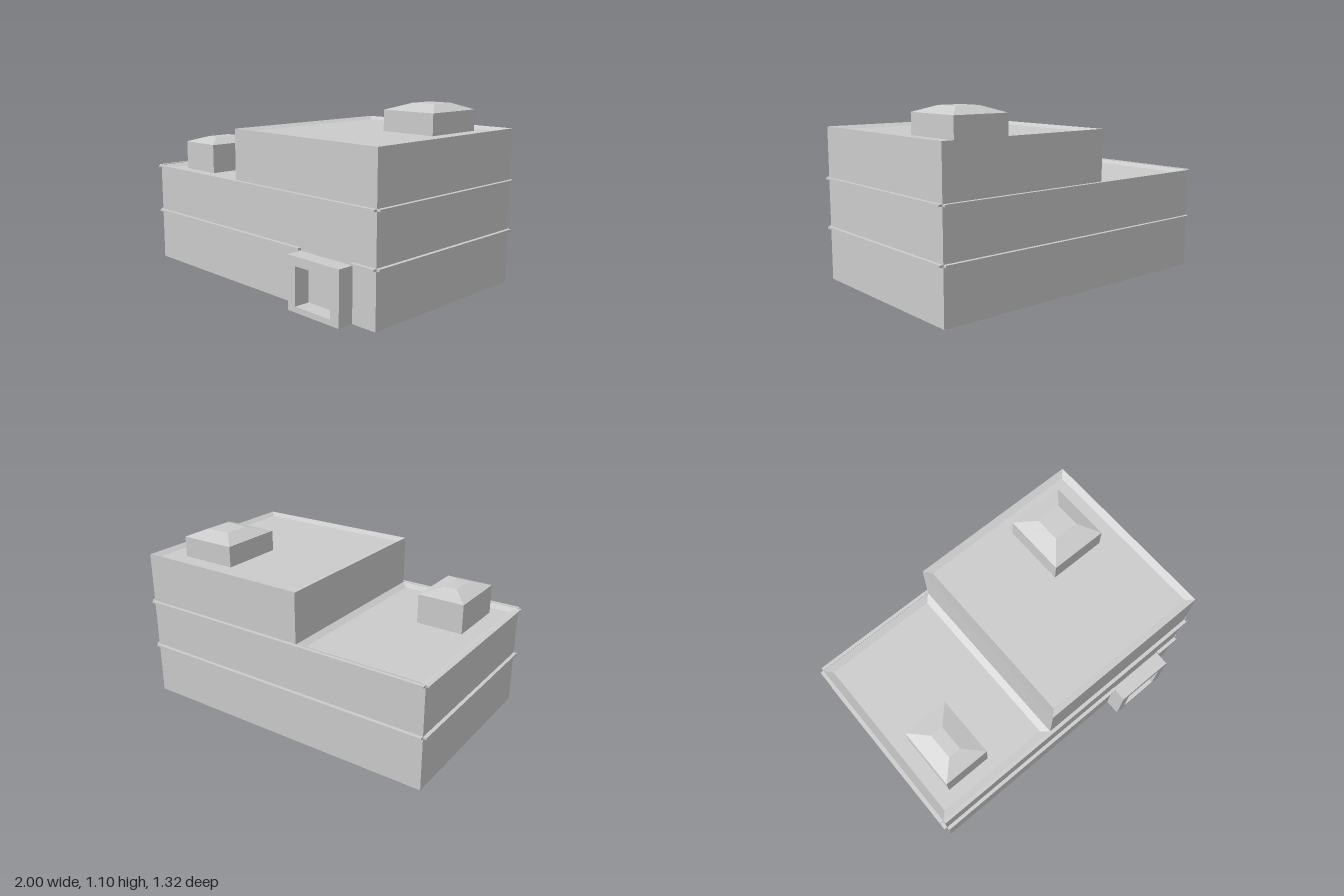
import * as THREE from 'three';

const material = new THREE.MeshStandardMaterial({ color: 0xcccccc, flatShading: true });

// Closed solid through rectangular rings [x0, x1, z0, z1, y], first ring at the bottom
function ringSolid(name, rings) {
  const loops = rings.map(([x0, x1, z0, z1, y]) => [[x0, y, z1], [x1, y, z1], [x1, y, z0], [x0, y, z0]]);
  const pos = [];
  const quad = (a, b, c, d) => pos.push(...a, ...b, ...c, ...a, ...c, ...d);
  for (let r = 0; r < loops.length - 1; r++) {
    for (let i = 0; i < 4; i++) {
      const j = (i + 1) % 4;
      quad(loops[r][i], loops[r][j], loops[r + 1][j], loops[r + 1][i]);
    }
  }
  quad(...loops[loops.length - 1]);
  quad(...loops[0].slice().reverse());
  const geometry = new THREE.BufferGeometry();
  geometry.setAttribute('position', new THREE.Float32BufferAttribute(pos, 3));
  geometry.computeVertexNormals();
  const mesh = new THREE.Mesh(geometry, material);
  mesh.name = name;
  return mesh;
}

// Building block whose roof is sunk behind a sloping rim
function sunkenBlock(name, x0, x1, z0, z1, height) {
  const inset = 0.043, sink = 0.018;
  return ringSolid(name, [
    [x0, x1, z0, z1, 0],
    [x0, x1, z0, z1, height],
    [x0 + inset, x1 - inset, z0 + inset, z1 - inset, height - sink],
  ]);
}

function box(name, x0, x1, y0, y1, z0, z1) {
  const mesh = new THREE.Mesh(new THREE.BoxGeometry(x1 - x0, y1 - y0, z1 - z0), material);
  mesh.position.set((x0 + x1) / 2, (y0 + y1) / 2, (z0 + z1) / 2);
  mesh.name = name;
  return mesh;
}

export function createModel() {
  const model = new THREE.Group();
  model.name = 'building';
  const X = 0.978, Z0 = -0.638, Z1 = 0.56, split = -0.155, out = 0.022;

  // Two-storey wing and three-storey wing
  model.add(sunkenBlock('lowWing', -X, split, Z0, Z1, 0.638));
  model.add(sunkenBlock('highWing', split, X, Z0, Z1, 0.95));

  // Roof huts with hipped tops
  model.add(ringSolid('lowRoofHut', [
    [-0.84, -0.545, 0.05, 0.44, 0.61],
    [-0.84, -0.545, 0.05, 0.44, 0.803],
    [-0.735, -0.655, 0.17, 0.335, 0.838],
  ]));
  model.add(ringSolid('highRoofHut', [
    [0.438, 0.803, -0.497, -0.097, 0.92],
    [0.438, 0.803, -0.497, -0.097, 1.06],
    [0.55, 0.71, -0.387, -0.227, 1.1],
  ]));

  // Floor bands on each wall, open at the corners; the lower one breaks over the entrance
  const doorX0 = 0.422, doorX1 = 0.815;
  [[0.323, 0.336], [0.629, 0.641]].forEach(([y0, y1], level) => {
    const band = new THREE.Group();
    band.name = level === 0 ? 'lowerBand' : 'upperBand';
    const spans = level === 0 ? [[-X, doorX0], [doorX1, X]] : [[-X, X]];
    for (const [a, b] of spans) band.add(box('frontBand', a, b, y0, y1, Z1, Z1 + out));
    band.add(box('backBand', -X, X, y0, y1, Z0 - out, Z0));
    band.add(box('leftBand', X, X + out, y0, y1, Z0, Z1));
    band.add(box('rightBand', -X - out, -X, y0, y1, Z0, Z1));
    model.add(band);
  });

  // Entrance frame with a recessed opening
  const rect = (Type, x0, x1, y0, y1) => new Type([
    new THREE.Vector2(x0, y0), new THREE.Vector2(x1, y0),
    new THREE.Vector2(x1, y1), new THREE.Vector2(x0, y1),
  ]);
  const frame = rect(THREE.Shape, doorX0, doorX1, 0, 0.318);
  frame.holes.push(rect(THREE.Path, 0.482, 0.75, 0.034, 0.263));
  const entrance = new THREE.Mesh(
    new THREE.ExtrudeGeometry(frame, { depth: 0.1, bevelEnabled: false }), material);
  entrance.position.z = Z1;
  entrance.name = 'entranceFrame';
  model.add(entrance);

  return model;
}
